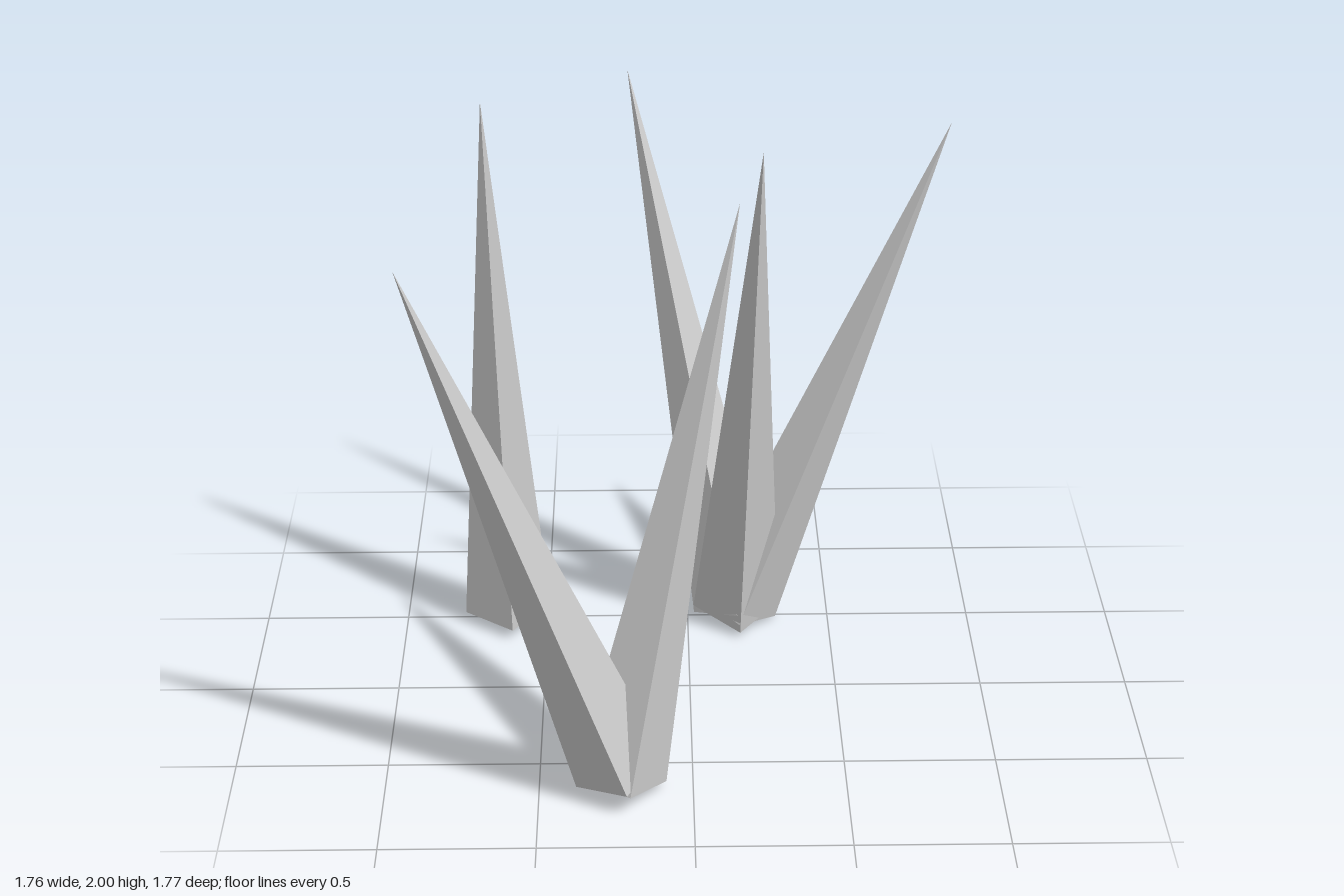
import * as THREE from 'three';

const material = new THREE.MeshStandardMaterial({ color: 0xcccccc, flatShading: true });

// Four-sided spike from a base centre to its tip; twist is the z-lean of its side corner
function spike(name, base, tip, twist) {
  const from = new THREE.Vector3(...base);
  const axis = new THREE.Vector3(...tip).sub(from);
  const length = axis.length();
  const up = axis.normalize();
  // side corner direction, made square to the axis
  const side = new THREE.Vector3(1, 0, twist);
  side.addScaledVector(up, -side.dot(up)).normalize();
  const front = new THREE.Vector3().crossVectors(side, up);

  const geometry = new THREE.ConeGeometry(0.152, length, 4);
  geometry.translate(0, length / 2, 0);
  geometry.applyMatrix4(new THREE.Matrix4().makeBasis(side, up, front).setPosition(from));
  const mesh = new THREE.Mesh(geometry, material);
  mesh.name = name;
  return mesh;
}

export function createModel() {
  const model = new THREE.Group();
  model.name = 'spikes';

  // Lone upright spike
  model.add(spike('loneSpike', [-0.64, 0.05, -0.48], [-0.68, 2.0, -0.365], -0.13));

  // Pair splaying from one foot at the front
  const pair = new THREE.Group();
  pair.name = 'spikePair';
  pair.add(
    spike('pairSpikeRight', [-0.237, 0.095, 0.685], [-0.88, 1.92, 0.885], -0.15),
    spike('pairSpikeLeft', [-0.233, 0.06, 0.675], [0.145, 1.95, 0.435], -0.2),
  );

  // Cluster of three splaying from one foot at the back
  const trio = new THREE.Group();
  trio.name = 'spikeTrio';
  const foot = [0.172, 0.06, -0.48];
  trio.add(
    spike('trioSpikeBack', foot, [-0.2, 1.93, -0.885], 0),
    spike('trioSpikeFront', foot, [0.235, 1.945, -0.02], -0.08),
    spike('trioSpikeLeft', foot, [0.88, 1.875, -0.485], -0.05),
  );

  model.add(pair, trio);
  return model;
}
